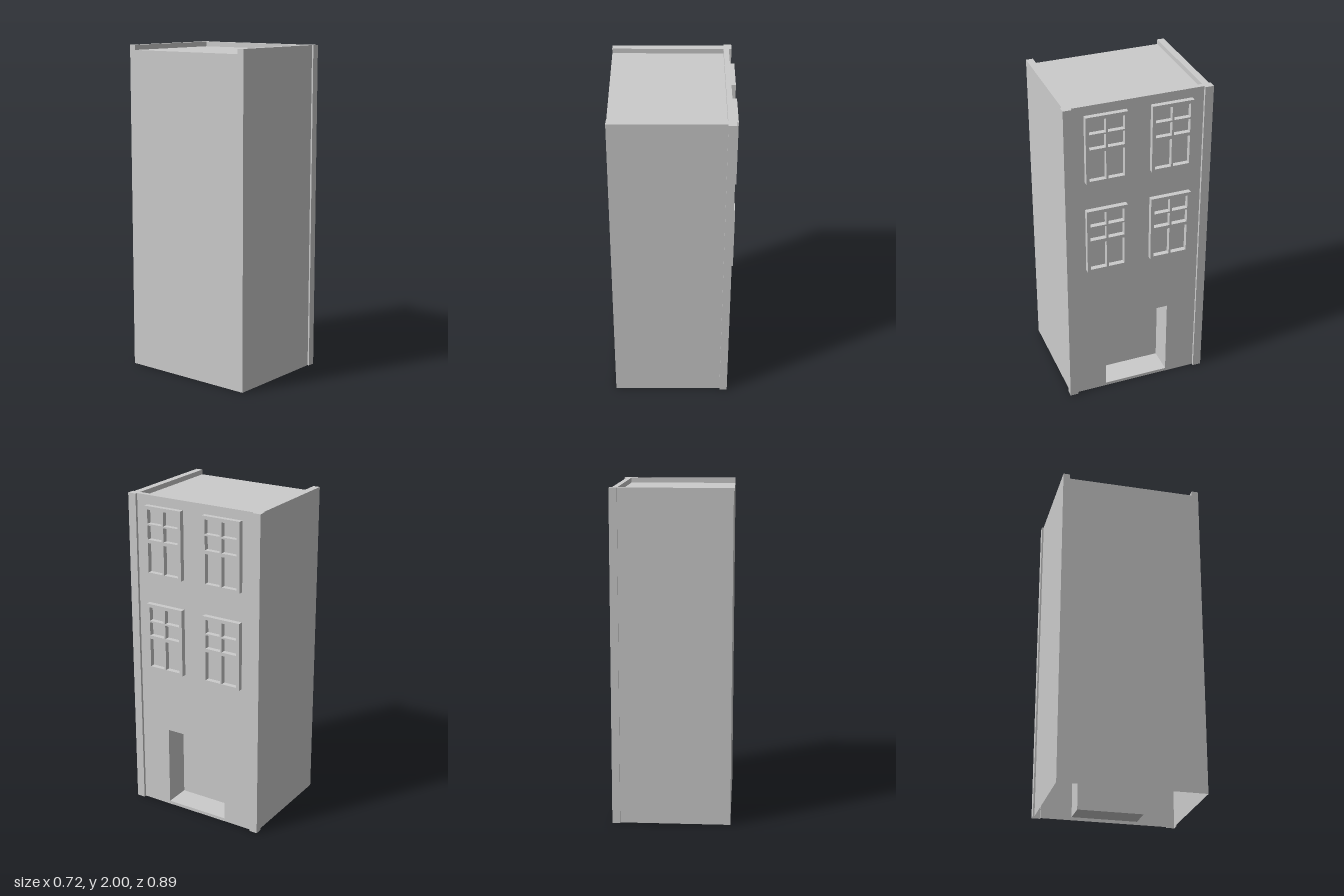
import * as THREE from 'three';

const H = 2, ROOF = 1.97;                     // parapet top, roof level
const BACK = -0.362, INNER = 0.298, FACE = 0.329, COL = 0.345;
const WALL_Z = 0.436, COL_Z = 0.446, IN_Z = 0.394;

const mat = new THREE.MeshStandardMaterial({ color: 0xcccccc, flatShading: true, side: THREE.DoubleSide });
const solidMat = new THREE.MeshStandardMaterial({ color: 0xcccccc, flatShading: true });

function add(parent, name, geometry, material = mat) {
  const mesh = new THREE.Mesh(geometry, material);
  mesh.name = name;
  parent.add(mesh);
  return mesh;
}

// Vertical sheet standing on a plan path of [x, z] points
function ribbon(path, y0, y1) {
  const pos = [];
  for (let i = 0; i < path.length - 1; i++) {
    const [ax, az] = path[i], [bx, bz] = path[i + 1];
    pos.push(ax, y0, az, bx, y0, bz, bx, y1, bz, ax, y0, az, bx, y1, bz, ax, y1, az);
  }
  const g = new THREE.BufferGeometry();
  g.setAttribute('position', new THREE.Float32BufferAttribute(pos, 3));
  g.computeVertexNormals();
  return g;
}

const polygon = (pts) => new THREE.Shape(pts.map(([x, y]) => new THREE.Vector2(x, y)));
const rect = (x0, y0, x1, y1) => [[x0, y0], [x1, y0], [x1, y1], [x0, y1]];

// Framed window with two columns of three panes, origin at bottom centre
function windowGeometry() {
  const frame = polygon(rect(-0.125, 0, 0.125, 0.418));
  for (const [y0, y1] of [[0.016, 0.196], [0.217, 0.302], [0.312, 0.397]]) {
    for (const [x0, x1] of [[-0.105, -0.006], [0.006, 0.105]]) {
      frame.holes.push(polygon(rect(x0, y0, x1, y1)));
    }
  }
  return new THREE.ExtrudeGeometry(frame, { depth: 0.031, bevelEnabled: false }).rotateY(Math.PI / 2);
}

export function createModel() {
  const model = new THREE.Group();
  model.name = 'townHouse';

  // Side walls running into the corner pilasters
  const side = [[BACK, WALL_Z], [INNER, WALL_Z], [INNER, COL_Z], [COL, COL_Z], [COL, IN_Z], [FACE, IN_Z]];
  const otherSide = side.map(([x, z]) => [x, -z]).reverse();
  add(model, 'sideWallAndPilaster', ribbon(side, 0, H));
  add(model, 'sideWallAndPilaster', ribbon(otherSide, 0, H));

  // Facade with the doorway cut out
  const facade = polygon(rect(-IN_Z, 0, IN_Z, H));
  facade.holes.push(polygon(rect(-0.204, 0.02, 0.204, 0.522)));
  add(model, 'facade', new THREE.ShapeGeometry(facade).rotateY(Math.PI / 2).translate(FACE, 0, 0));

  // Back wall, lower between the two parapet ends
  const back = polygon([[-WALL_Z, 0], [WALL_Z, 0], [WALL_Z, H], [IN_Z, H],
    [IN_Z, ROOF], [-IN_Z, ROOF], [-IN_Z, H], [-WALL_Z, H]]);
  add(model, 'backWall', new THREE.ShapeGeometry(back).rotateY(-Math.PI / 2).translate(BACK, 0, 0));

  // Sunken roof, parapet inside faces and parapet top
  const inner = [[BACK, IN_Z], [INNER, IN_Z], [INNER, -IN_Z], [BACK, -IN_Z]];
  const roof = new THREE.ShapeGeometry(polygon(rect(BACK, -IN_Z, INNER, IN_Z)));
  add(model, 'roof', roof.rotateX(-Math.PI / 2).translate(0, ROOF, 0));
  add(model, 'parapetInside', ribbon(inner, ROOF, H));
  const rim = new THREE.ShapeGeometry(polygon([...side, ...otherSide, ...inner.slice().reverse()]));
  add(model, 'parapetTop', rim.rotateX(-Math.PI / 2).translate(0, H, 0));

  // Door recess: a box open towards the facade
  const depth = 0.16;
  const recess = new THREE.BoxGeometry(depth, 0.502, 0.408);
  recess.setIndex(Array.from(recess.index.array).slice(6));
  recess.clearGroups();
  add(model, 'doorRecess', recess.translate(FACE - depth / 2, 0.271, 0));

  // Two floors of paired windows
  const pane = windowGeometry();
  for (const y of [0.925, 1.525]) {
    for (const z of [-0.198, 0.198]) {
      add(model, 'windowFrame', pane, solidMat).position.set(FACE, y, z);
    }
  }
  return model;
}
